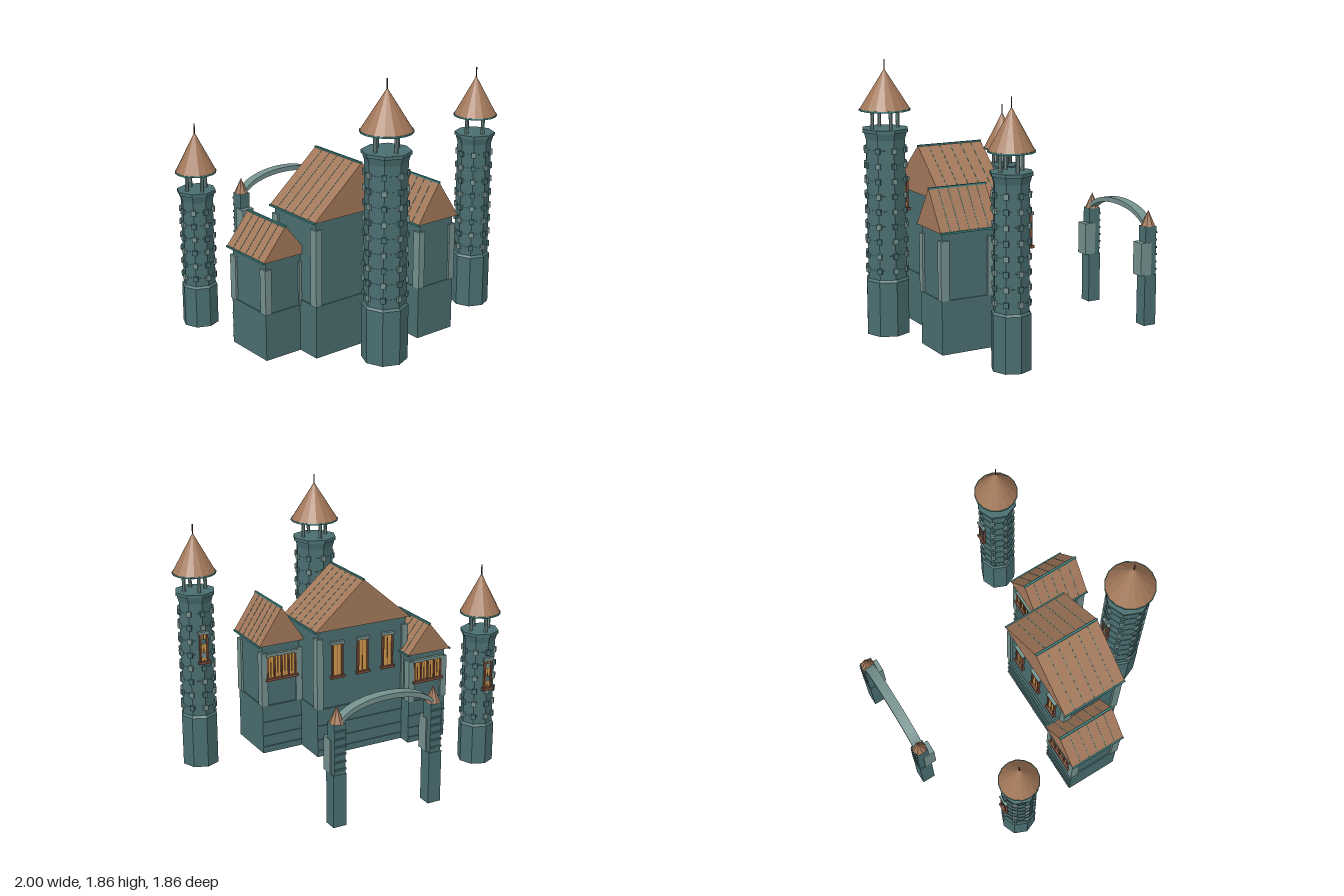
import * as THREE from 'three';

const mat = (name, color) => Object.assign(new THREE.MeshStandardMaterial({ color, flatShading: true }), { name });
const wall = mat('teal stone', 0x4a6e71);
const trim = mat('pale stone', 0x74918e);
const roofMat = mat('brown roof', 0xa3785a);
const edge = mat('teal roof edge', 0x3c8583);
const wood = mat('dark wood', 0x7a4c38);
const glow = mat('lit glass', 0xd39a4a);
const iron = mat('finial', 0x4a3a32);

function add(parent, name, geo, material, x = 0, y = 0, z = 0) {
  const m = new THREE.Mesh(geo, material);
  m.name = name;
  m.position.set(x, y, z);
  parent.add(m);
  return m;
}
// box given by its minimum and maximum corners
function span(parent, name, material, x0, x1, y0, y1, z0, z1) {
  return add(parent, name, new THREE.BoxGeometry(x1 - x0, y1 - y0, z1 - z0), material,
    (x0 + x1) / 2, (y0 + y1) / 2, (z0 + z1) / 2);
}
function group(parent, name) {
  const g = new THREE.Group();
  g.name = name;
  parent.add(g);
  return g;
}

// framed window on a wall facing -z, with a number of panes
function addWindow(parent, x, y0, y1, z, width, panes) {
  const g = group(parent, 'window');
  const x0 = x - width / 2, x1 = x + width / 2, bar = 0.012;
  span(g, 'windowGlass', glow, x0, x1, y0, y1, z - 0.006, z + 0.002);
  for (let i = 0; i <= panes; i++) {
    const bx = x0 + (width * i) / panes;
    span(g, 'windowBar', wood, bx - bar / 2, bx + bar / 2, y0, y1, z - 0.016, z);
  }
  for (let i = 0; i < panes; i++) {
    const cx = x0 + (width * (i + 0.5)) / panes;
    span(g, 'mullion', wood, cx - 0.002, cx + 0.002, y0, y1, z - 0.01, z);
  }
  span(g, 'windowSill', wood, x0 - 0.016, x1 + 0.016, y0 - 0.014, y0 + 0.004, z - 0.026, z);
  span(g, 'windowLintel', trim, x0 - 0.014, x1 + 0.014, y1 - 0.004, y1 + 0.016, z - 0.022, z);
}

function addTower(root, name, o) {
  const t = group(root, name);
  t.position.set(o.x, 0, o.z);
  const { r, base, top, eave, apex, roofR } = o;
  const prism = (n, m, rt, rb, y0, y1, sides = 8) =>
    add(t, n, new THREE.CylinderGeometry(rt, rb, y1 - y0, sides), m, 0, (y0 + y1) / 2, 0);
  prism('towerBase', wall, r + 0.013, r + 0.013, 0, base - 0.015);
  prism('baseBevel', wall, r, r + 0.013, base - 0.015, base);
  prism('shaft', wall, r, r, base, top - 0.07);
  prism('corniceFlare', wall, r + 0.014, r, top - 0.07, top - 0.022);
  prism('platform', wall, r + 0.022, r + 0.022, top - 0.022, top);
  // courses with corner stones
  const rows = Math.round((top - base - 0.1) / 0.1);
  const step = (top - base - 0.1) / rows;
  for (let i = 0; i < rows; i++) {
    const y = base + step * (i + 0.6);
    prism('course', wall, r + 0.003, r + 0.003, y - 0.004, y + 0.004);
    for (let k = 0; k < 8; k++) {
      const a = (k * Math.PI) / 4;
      const s = add(t, 'cornerStone', new THREE.BoxGeometry(0.032, 0.036, 0.02), (i + k) % 2 ? wall : trim,
        Math.sin(a) * r, y, Math.cos(a) * r);
      s.rotation.y = a;
    }
  }
  // open belfry
  for (let k = 0; k < 4; k++) {
    const a = (k * Math.PI) / 2, d = r * 0.66;
    add(t, 'post', new THREE.CylinderGeometry(0.013, 0.013, eave - top + 0.02, 8), trim,
      Math.sin(a) * d, (eave + top) / 2, Math.cos(a) * d);
  }
  prism('coneRoof', roofMat, 0, roofR, eave, apex, 16);
  prism('eaveRing', edge, roofR + 0.002, roofR + 0.002, eave - 0.006, eave + 0.004, 16);
  prism('roofUnderside', roofMat, roofR - 0.006, roofR - 0.006, eave - 0.008, eave, 16);
  prism('finial', iron, 0.004, 0.005, apex - 0.02, apex + 0.06, 6);
  addWindow(t, 0, o.win, o.win + 0.2, -r * 0.93 - 0.006, 0.05, 1);
}

function addHouse(root, name, o) {
  const h = group(root, name);
  const { x0, x1, z0, z1, plinth, eave, ridge, over } = o;
  const cx = (x0 + x1) / 2, half = (x1 - x0) / 2 + over, rise = ridge - eave;
  span(h, 'plinth', wall, x0, x1, 0, plinth, z0, z1);
  span(h, 'walls', wall, x0 + 0.008, x1 - 0.008, plinth, eave, z0 + 0.006, z1 - 0.006);
  // ledges across the back
  for (const f of [0.14, 0.37, 0.66, 1]) {
    span(h, 'backLedge', wall, x0, x1, plinth * f - 0.008, plinth * f, z0 - 0.008, z0);
  }
  // corner buttresses
  for (const x of [x0 - 0.006, x1 - 0.042]) {
    for (const z of [z0 - 0.008, z1 - 0.052]) {
      span(h, 'buttress', trim, x, x + 0.048, plinth, eave - 0.055, z, z + 0.06);
    }
  }
  // gabled roof, ridge running front to back
  const rz0 = o.rz0, rz1 = o.rz1;
  const tri = new THREE.Shape([new THREE.Vector2(-half, 0), new THREE.Vector2(half, 0), new THREE.Vector2(0, rise)]);
  add(h, 'roof', new THREE.ExtrudeGeometry(tri, { depth: rz1 - rz0, bevelEnabled: false }), roofMat, cx, eave, rz0);
  span(h, 'ridgeCap', edge, cx - 0.007, cx + 0.007, ridge - 0.008, ridge + 0.004, rz0 - 0.003, rz1 + 0.003);
  const len = Math.hypot(half, rise), ang = Math.atan2(rise, half);
  for (const s of [-1, 1]) {
    const ex = cx + s * half;
    span(h, 'eaveTrim', edge, ex - 0.005, ex + 0.005, eave - 0.006, eave + 0.006, rz0 - 0.002, rz1 + 0.002);
    for (let i = 1; i <= 5; i++) {
      const b = add(h, 'roofBatten', new THREE.BoxGeometry(len, 0.003, 0.003), edge,
        cx + (s * half) / 2, eave + rise / 2, rz0 + ((rz1 - rz0) * i) / 6);
      b.rotation.z = -s * ang;
    }
  }
  for (const w of o.windows) addWindow(h, w.x, w.y0, w.y1, z0 + 0.006, w.w, w.n);
}

function addGate(root) {
  const g = group(root, 'gateway');
  const z = -0.88;
  for (const x of [-0.23, 0.475]) {
    span(g, 'gatePillar', wall, x - 0.047, x + 0.047, 0, 0.36, z - 0.045, z + 0.05);
    span(g, 'gatePillarUpper', wall, x - 0.04, x + 0.04, 0.36, 0.7, z - 0.042, z + 0.046);
    span(g, 'gateButtress', trim, x - 0.048, x + 0.048, 0.36, 0.59, z, z + 0.085);
    for (let i = 0; i < 6; i++) {
      const y = 0.39 + i * 0.052;
      span(g, 'pillarCourse', wall, x - 0.043, x + 0.043, y, y + 0.012, z - 0.049, z - 0.04);
    }
    add(g, 'pillarCap', new THREE.ConeGeometry(0.05, 0.11, 8), roofMat, x, 0.755, z);
  }
  // shallow arch: band between two curves
  const s = new THREE.Shape(), a = -0.23, b = 0.475, n = 24;
  const curve = (f, y, h) => [a + (b - a) * f, y + h * Math.sqrt(Math.max(0, 1 - (2 * f - 1) ** 2))];
  s.moveTo(a, 0.66);
  for (let i = 0; i <= n; i++) s.lineTo(...curve((1 - Math.cos((Math.PI * i) / n)) / 2, 0.68, 0.15));
  for (let i = n; i >= 0; i--) s.lineTo(...curve((1 - Math.cos((Math.PI * i) / n)) / 2, 0.65, 0.145));
  add(g, 'arch', new THREE.ExtrudeGeometry(s, { depth: 0.07, bevelEnabled: false }), trim, 0, 0, z - 0.035);
}

export function createModel() {
  const root = new THREE.Group();
  root.name = 'castle';

  addTower(root, 'tallTower', { x: -0.245, z: 0.76, r: 0.139, base: 0.39, top: 1.405, eave: 1.53, apex: 1.8, roofR: 0.17, win: 0.85 });
  addTower(root, 'leftTower', { x: 0.85, z: 0.415, r: 0.117, base: 0.38, top: 1.255, eave: 1.38, apex: 1.65, roofR: 0.147, win: 0.78 });
  addTower(root, 'rightTower', { x: -0.863, z: -0.475, r: 0.11, base: 0.295, top: 0.96, eave: 1.085, apex: 1.355, roofR: 0.137, win: 0.57 });

  addHouse(root, 'mainHall', {
    x0: -0.607, x1: 0.112, z0: 0.052, z1: 0.508, plinth: 0.36, eave: 0.935, ridge: 1.265, over: 0.02, rz0: 0.04, rz1: 0.52,
    windows: [-0.45, -0.247, -0.044].map((x) => ({ x, y0: 0.59, y1: 0.83, w: 0.075, n: 1 })),
  });
  addHouse(root, 'leftWing', {
    x0: 0.115, x1: 0.42, z0: 0.295, z1: 0.68, plinth: 0.36, eave: 0.81, ridge: 1.075, over: 0.023, rz0: 0.28, rz1: 0.695,
    windows: [{ x: 0.268, y0: 0.56, y1: 0.73, w: 0.22, n: 4 }],
  });
  addHouse(root, 'rightWing', {
    x0: -0.88, x1: -0.575, z0: -0.045, z1: 0.335, plinth: 0.32, eave: 0.68, ridge: 0.895, over: 0.022, rz0: -0.065, rz1: 0.35,
    windows: [{ x: -0.727, y0: 0.47, y1: 0.62, w: 0.22, n: 4 }],
  });

  addGate(root);
  return root;
}
